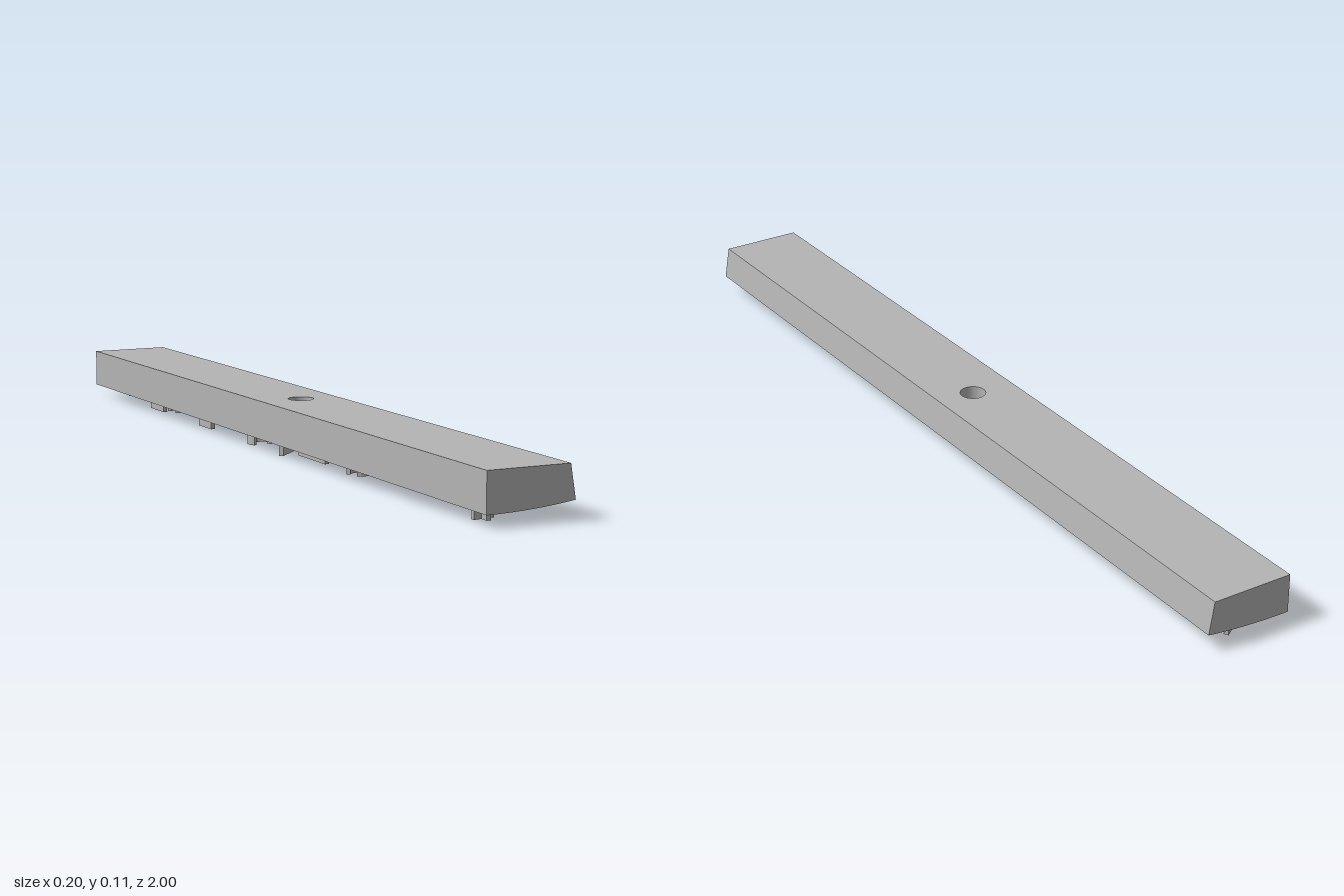
import * as THREE from 'three';

const TOP = 0.115, CUT = 0.04, HOLE = 0.029;
const STEPS = 10;

// height of the gently curved underside
const under = x => 0.028 + 0.014 * ((x + 0.1) / 0.2) ** 2;
const samples = Array.from({ length: STEPS + 1 }, (_, i) => -0.1 + (0.2 * i) / STEPS);

// drop the hidden faces where two body pieces meet
function withoutSeams(geo) {
  const p = geo.attributes.position, keep = [];
  for (let i = 0; i < p.count; i += 3) {
    const seam = s => [0, 1, 2].every(k => Math.abs(p.getZ(i + k) - s) < 1e-4);
    if (seam(CUT) || seam(-CUT)) continue;
    for (let k = 0; k < 3; k++) keep.push(p.getX(i + k), p.getY(i + k), p.getZ(i + k));
  }
  const out = new THREE.BufferGeometry();
  out.setAttribute('position', new THREE.Float32BufferAttribute(keep, 3));
  out.computeVertexNormals();
  return out;
}

// one long end of the bar, its section swept along z
function barEnd(z0) {
  const section = new THREE.Shape([
    ...samples.map(x => new THREE.Vector2(x, under(x))),
    new THREE.Vector2(0.088, TOP), new THREE.Vector2(-0.1, TOP),
  ]);
  const geo = new THREE.ExtrudeGeometry(section, { depth: 1 - CUT, bevelEnabled: false });
  geo.translate(0, 0, z0);
  return withoutSeams(geo);
}

// short middle piece with the round through hole
function barMiddle() {
  const plan = new THREE.Shape([
    ...samples.map(x => new THREE.Vector2(x, -CUT)),
    ...[...samples].reverse().map(x => new THREE.Vector2(x, CUT)),
  ]);
  plan.holes.push(new THREE.Path().absarc(0, 0, HOLE, 0, Math.PI * 2, true));
  const geo = new THREE.ExtrudeGeometry(plan, { depth: 1, bevelEnabled: false, curveSegments: 32 });
  geo.rotateX(Math.PI / 2);
  const p = geo.attributes.position;
  for (let i = 0; i < p.count; i++) {
    const x = p.getX(i);
    if (p.getY(i) > -0.5) p.setXYZ(i, Math.min(x, 0.088), TOP, p.getZ(i));
    else p.setY(i, under(x));
  }
  return withoutSeams(geo);
}

// thin wall following a path of [x, z] points, hanging from the underside
function rib(path, thick = 0.01) {
  const pts = path.map(([x, z]) => new THREE.Vector2(x, z));
  const left = [], right = [];
  pts.forEach((p, i) => {
    const dir = pts[Math.min(i + 1, pts.length - 1)].clone().sub(pts[Math.max(i - 1, 0)]).normalize();
    const off = new THREE.Vector2(-dir.y, dir.x).multiplyScalar(thick / 2);
    left.push(p.clone().add(off));
    right.unshift(p.clone().sub(off));
  });
  const geo = new THREE.ExtrudeGeometry(new THREE.Shape([...left, ...right]), { depth: 0.032, bevelEnabled: false });
  geo.rotateX(Math.PI / 2);
  const p = geo.attributes.position;
  for (let i = 0; i < p.count; i++) p.setY(i, p.getY(i) + under(p.getX(i)) + 0.005);
  geo.computeVertexNormals();
  return geo;
}

// points on an open ring, angles in degrees
const arc = (cx, cz, r, from, to) => Array.from({ length: 15 }, (_, i) => {
  const a = THREE.MathUtils.degToRad(from + ((to - from) * i) / 14);
  return [cx + r * Math.cos(a), cz + r * Math.sin(a)];
});

export function createModel() {
  const group = new THREE.Group();
  const grey = new THREE.MeshStandardMaterial({ color: 0xb4b4b4 });
  grey.name = 'plain grey';
  const add = (name, geo) => {
    const mesh = new THREE.Mesh(geo, grey);
    mesh.name = name;
    group.add(mesh);
  };

  // bar
  add('frontBar', barEnd(CUT));
  add('backBar', barEnd(-1));
  add('middleBarWithHole', barMiddle());

  // straight ribs: x, z start and x, z end
  [
    [-0.053, 0.93, -0.053, 0.88], [-0.03, 0.905, -0.075, 0.905],
    [0.045, 0.475, 0.045, 0.28],
    [-0.045, 0.22, -0.045, 0.09],
    [-0.025, 0.02, -0.086, 0.075],
    [-0.012, -0.14, -0.012, -0.225],
    [-0.066, -0.34, -0.066, -0.41],
    [-0.06, -0.64, -0.06, -0.72],
    [0.035, -0.975, -0.035, -0.925],
  ].forEach(([x0, z0, x1, z1]) => add('straightRib', rib([[x0, z0], [x1, z1]])));

  // wavy rib
  add('wavyRib', rib(Array.from({ length: 13 }, (_, i) => {
    const t = i / 12;
    return [0.047 - 0.062 * t, 0.55 + 0.024 * Math.sin(t * Math.PI * 2)];
  }), 0.008));

  // open ring ribs: centre x, z, radius, start and end angle
  [
    [0.01, 0.37, 0.022, -90, 120],
    [-0.04, 0.365, 0.024, -150, 130],
    [0.015, -0.13, 0.03, -130, 130],
    [-0.055, -0.1, 0.025, -220, 60],
    [0.02, -0.63, 0.025, -120, 150],
    [-0.03, -0.63, 0.022, -140, 130],
  ].forEach(a => add('ringRib', rib(arc(...a), 0.008)));

  return group;
}
